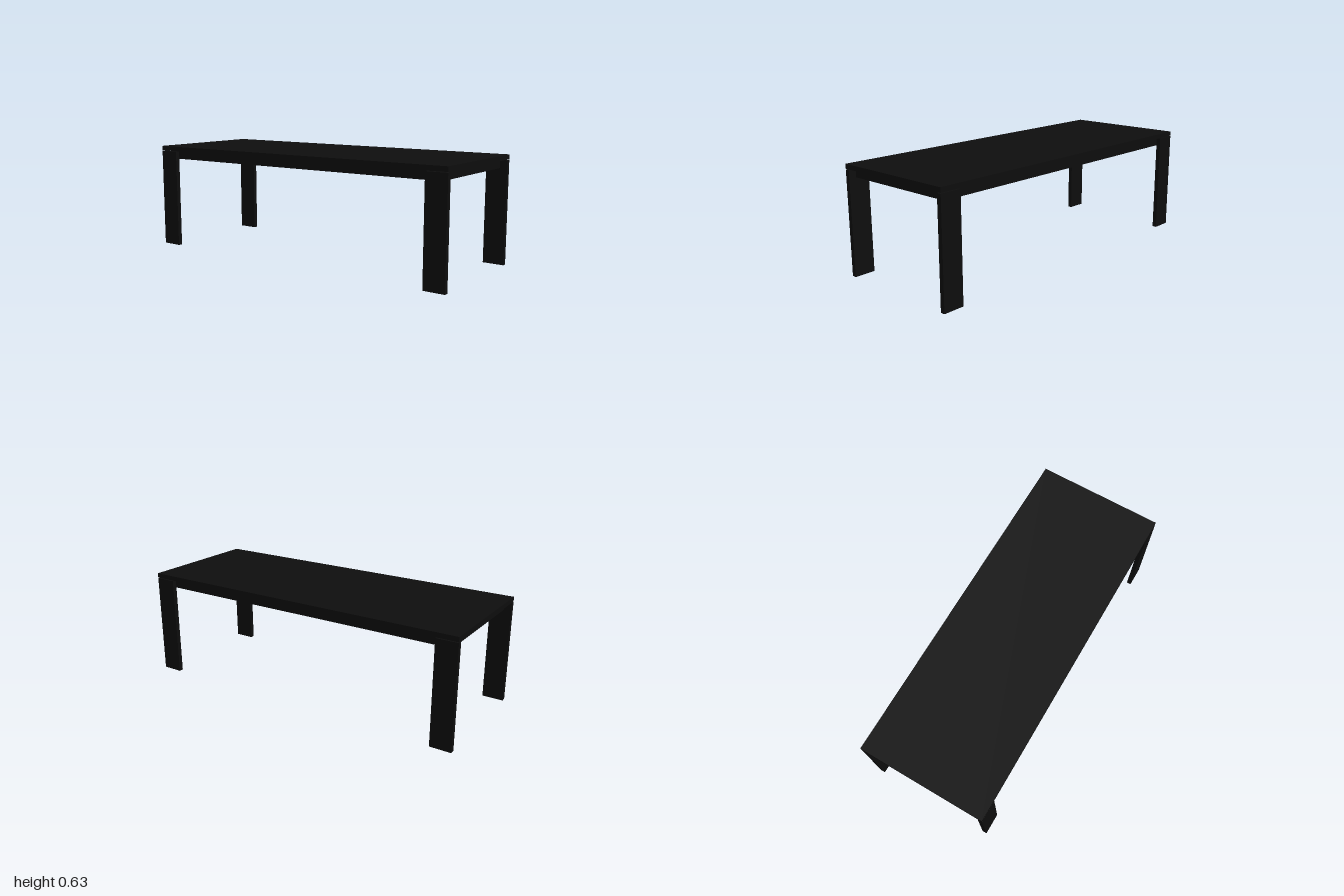
import * as THREE from 'three';

export function createModel() {
  const table = new THREE.Group();
  table.name = 'table';
  const black = new THREE.MeshStandardMaterial({ color: 0x0d0d0d });

  // Box given by its size, centre x and z, and bottom height
  function box(name, w, h, d, x, bottom, z) {
    const mesh = new THREE.Mesh(new THREE.BoxGeometry(w, h, d), black);
    mesh.name = name;
    mesh.position.set(x, bottom + h / 2, z);
    table.add(mesh);
  }

  const halfX = 1, halfZ = 0.374;
  const legW = 0.124, legD = 0.026, legH = 0.596;
  const slabBottom = 0.6;

  // Thin top, with a core below it that is set in from the edges
  box('tableTop', 2 * halfX, 0.027, 2 * halfZ, 0, slabBottom, 0);
  box('underFrame', 1.914, slabBottom - 0.55, 2 * (halfZ - legD), 0, 0.55, 0);

  // Flat legs on the long sides, with a shadow gap under the top
  for (const [sx, side] of [[1, 'Left'], [-1, 'Right']]) {
    for (const [sz, end] of [[1, 'front'], [-1, 'back']]) {
      box(`${end}${side}Leg`, legW, legH, legD,
        sx * (halfX - legW / 2), 0, sz * (halfZ - legD / 2));
    }
  }
  return table;
}
